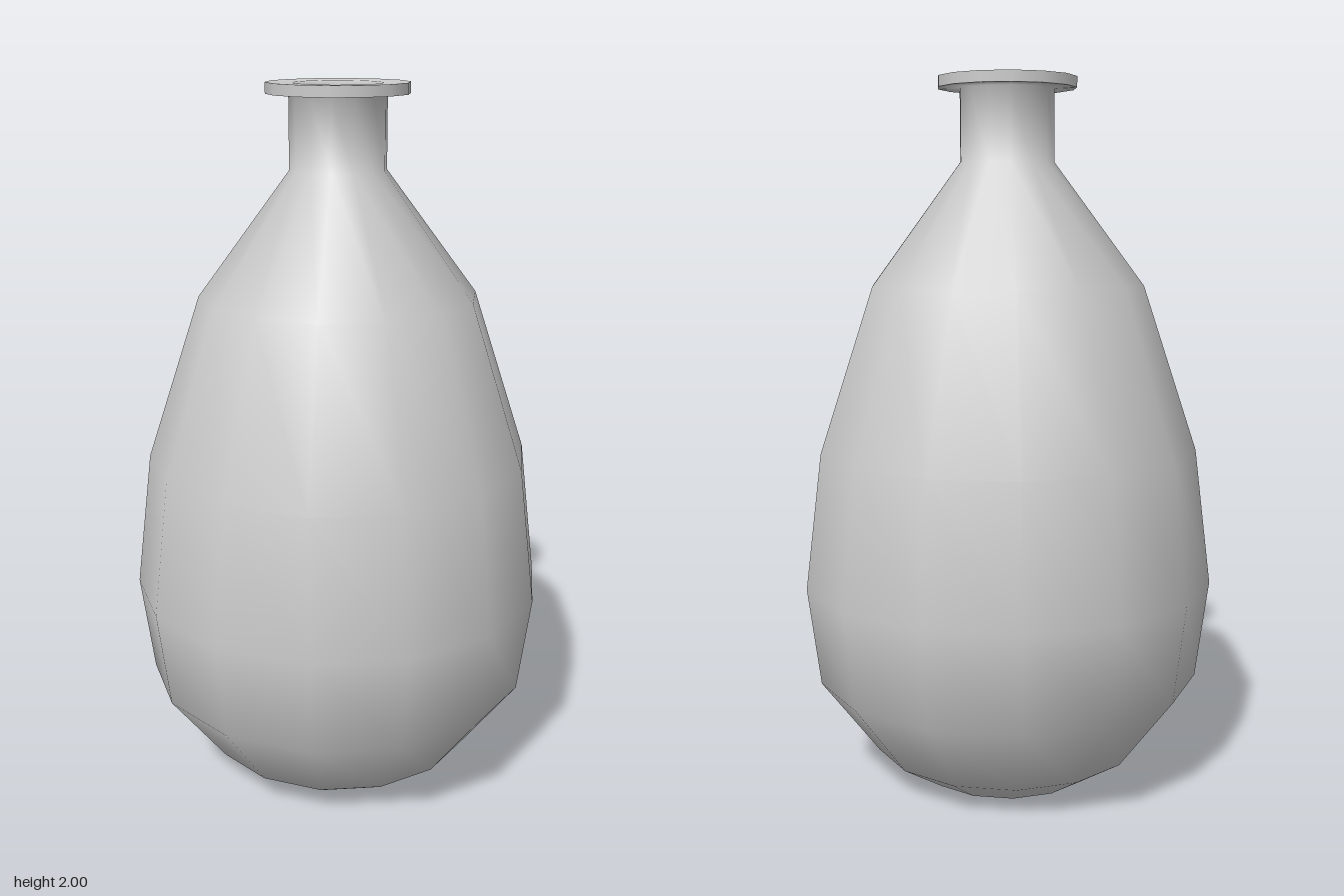
import * as THREE from 'three';

const SIDES = 14;

export function createModel() {
  const group = new THREE.Group();
  group.name = 'bottleVase';
  const material = new THREE.MeshStandardMaterial({ color: 0xcccccc });

  // Each smooth run of the profile is its own lathe, so edges between runs stay sharp
  function turn(name, profile) {
    const points = profile.map(([r, y]) => new THREE.Vector2(r, y));
    const mesh = new THREE.Mesh(new THREE.LatheGeometry(points, SIDES, Math.PI / 2), material);
    mesh.name = name;
    group.add(mesh);
  }

  // Pear-shaped body from foot to shoulder
  const belly = [
    [0.255, 0], [0.387, 0.085], [0.552, 0.305], [0.588, 0.585],
    [0.54, 0.97], [0.387, 1.43], [0.133, 1.77],
  ];

  // Flat foot
  turn('base', [[0, 0], [0.255, 0]]);

  // Body flowing into the neck and the underside of the lip
  turn('bodyAndNeck', [...belly, [0.133, 1.968], [0.195, 1.97]]);

  // Outer edge of the lip
  turn('lipEdge', [[0.195, 1.97], [0.195, 2]]);

  // Lip top rolling into the mouth, then the hollow inside down to the floor
  const hollow = belly.map(([r, y]) => [r - 0.021, y + (y === 0 ? 0.02 : 0)]).reverse();
  turn('lipTopAndInside', [[0.195, 2], [0.122, 1.998], [0.112, 1.985], ...hollow]);
  turn('insideFloor', [[0.234, 0.02], [0, 0.02]]);

  return group;
}
